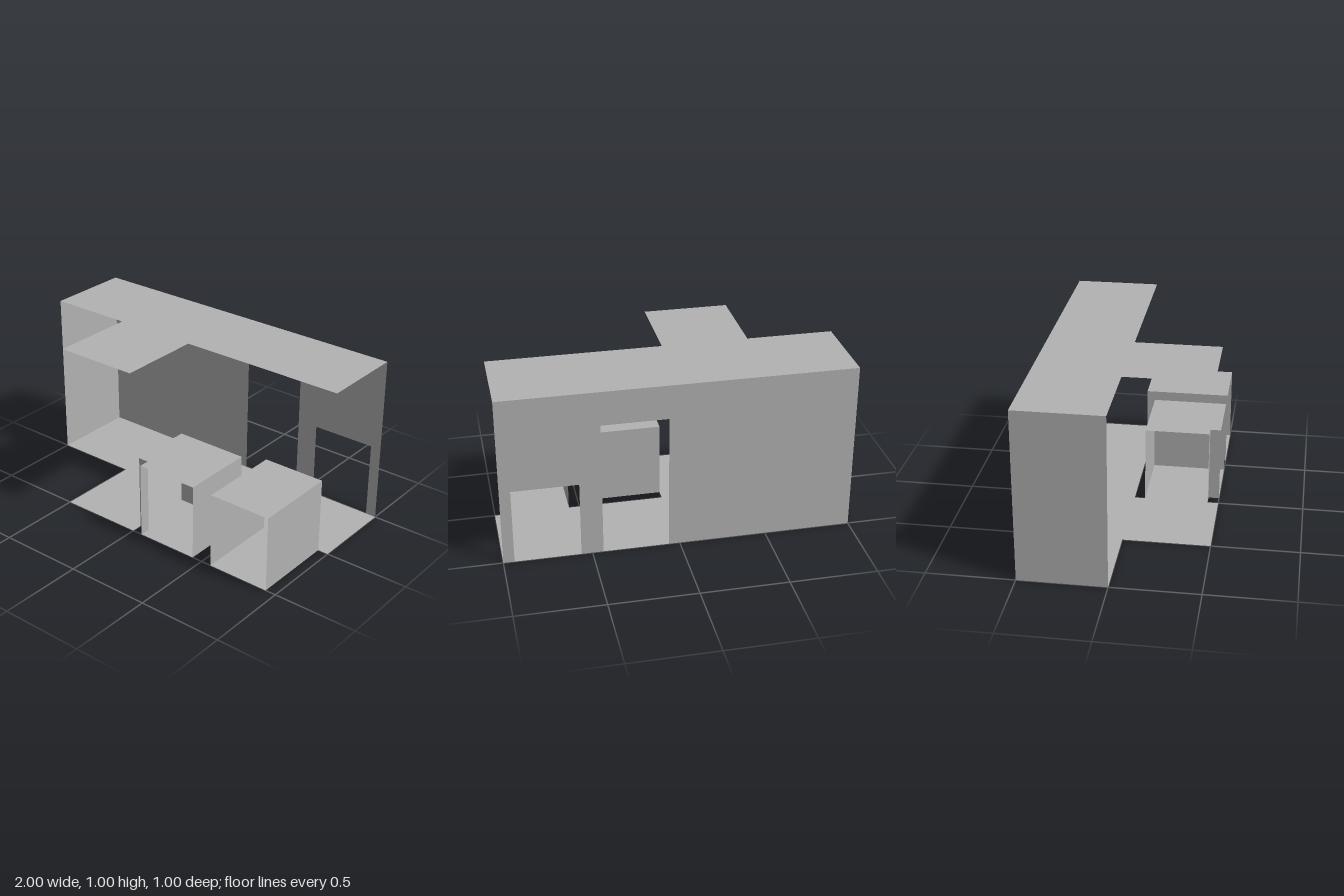
import * as THREE from 'three';

const E = 0.0625; // inset of openings and booths
const BOOTH_H = 0.45;
const DOOR_H = 0.8;

export function createModel() {
  const model = new THREE.Group();
  const grey = new THREE.MeshStandardMaterial({ color: 0xb2b2b2, side: THREE.DoubleSide });
  grey.name = 'plain grey';

  const outline = (pts) => new THREE.Shape(pts.map(([a, b]) => new THREE.Vector2(a, b)));

  function add(parent, name, geometry) {
    const mesh = new THREE.Mesh(geometry, grey);
    mesh.name = name;
    parent.add(mesh);
  }

  // Horizontal sheet from (x, z) corners at height y
  function sheet(parent, name, pts, y) {
    const geo = new THREE.ShapeGeometry(outline(pts.map(([x, z]) => [x, -z])));
    add(parent, name, geo.rotateX(-Math.PI / 2).translate(0, y, 0));
  }

  // Upright rectangular wall between two (x, z) points
  function wall(parent, name, [x0, z0], [x1, z1], height) {
    const geo = new THREE.PlaneGeometry(Math.hypot(x1 - x0, z1 - z0), height);
    geo.rotateY(-Math.atan2(z1 - z0, x1 - x0));
    add(parent, name, geo.translate((x0 + x1) / 2, height / 2, (z0 + z1) / 2));
  }

  // Main hall: floor and ceiling with a projecting bay, back wall and one end wall
  const hall = new THREE.Group();
  hall.name = 'hall';
  const plan = [[-1, -0.5], [1, -0.5], [1, 0], [0, 0], [0, 0.5], [-0.5, 0.5], [-0.5, 0], [-1, 0]];
  sheet(hall, 'floor', plan, 0);
  sheet(hall, 'ceiling', plan, 1);
  wall(hall, 'endWall', [-1, -0.5], [-1, 0], 1);

  // Back wall notched by a tall doorway and a low hatch, both reaching the floor
  const back = outline([
    [-1, 0], [E, 0], [E, DOOR_H], [0.5 - E, DOOR_H], [0.5 - E, 0],
    [0.5 + E, 0], [0.5 + E, BOOTH_H], [1 - E, BOOTH_H], [1 - E, 0],
    [1, 0], [1, 1], [-1, 1],
  ]);
  add(hall, 'backWall', new THREE.ShapeGeometry(back).translate(0, 0, -0.5));

  // Corner booth: open at the front and on the side facing the bay
  const corner = new THREE.Group();
  corner.name = 'cornerBooth';
  const a = E, b = 0.5 - E;
  const cornerPlan = [[0, a], [b, a], [b, 0.5], [a, 0.5], [a, b], [0, b]];
  sheet(corner, 'boothFloor', cornerPlan, 0);
  sheet(corner, 'boothRoof', cornerPlan, BOOTH_H);
  wall(corner, 'boothBack', [0, a], [b, a], BOOTH_H);
  wall(corner, 'boothSide', [b, a], [b, 0.5], BOOTH_H);
  wall(corner, 'postSide', [a, b], [a, 0.5], BOOTH_H);
  wall(corner, 'postBack', [0, b], [a, b], BOOTH_H);

  // Straight passage: open at both ends
  const passage = new THREE.Group();
  passage.name = 'passage';
  const l = 0.5 + E, r = 1 - E;
  const passagePlan = [[l, 0], [r, 0], [r, 0.5], [l, 0.5]];
  sheet(passage, 'passageFloor', passagePlan, 0);
  sheet(passage, 'passageRoof', passagePlan, BOOTH_H);
  for (const x of [l, r]) wall(passage, 'passageSide', [x, 0], [x, 0.5], BOOTH_H);

  model.add(hall, corner, passage);
  return model;
}
